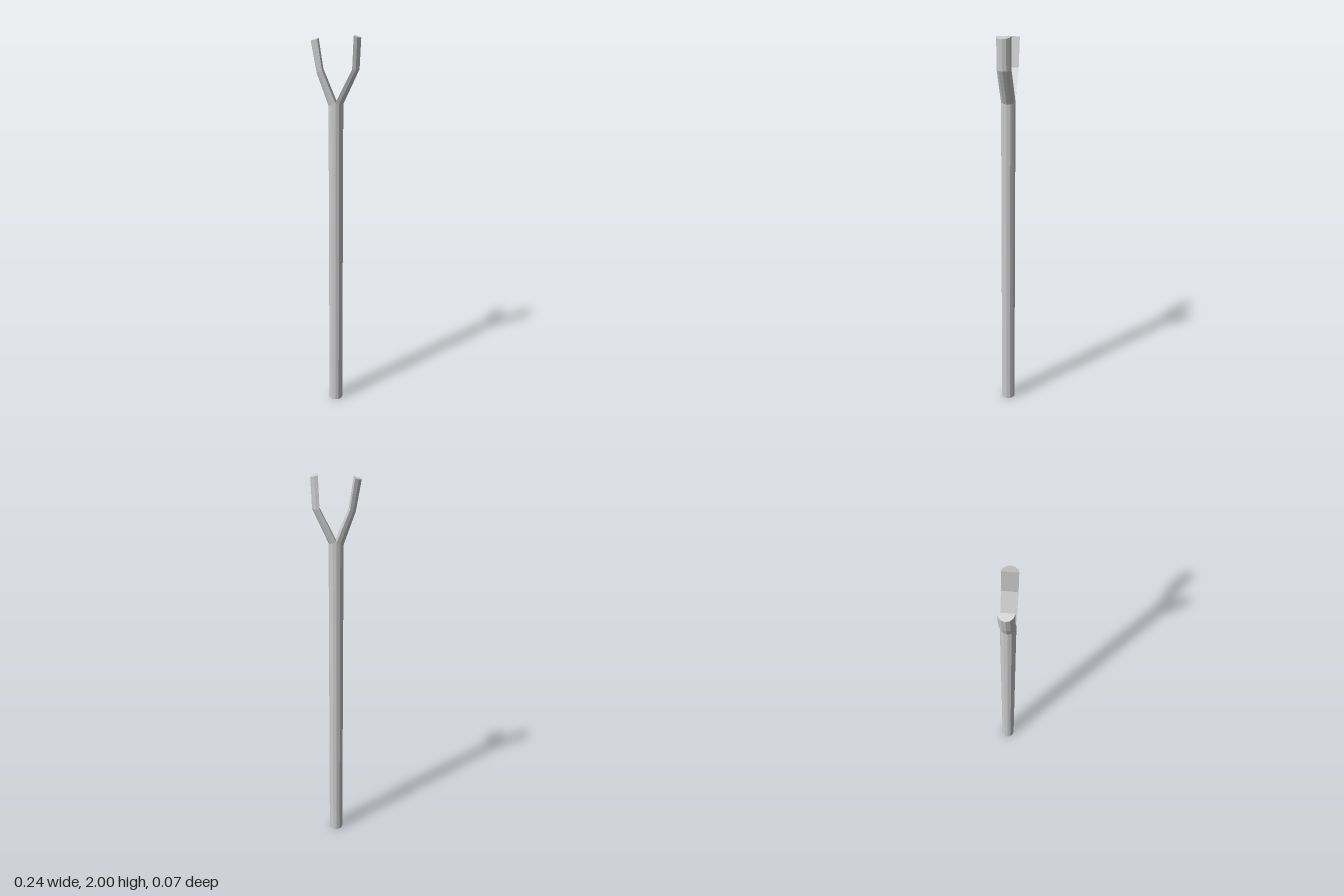
import * as THREE from 'three';

const R = 0.0365; // shaft radius and half depth of the prongs
const material = new THREE.MeshStandardMaterial({ color: 0xcccccc, flatShading: true });

// Straight twelve-sided shaft, its rim sloping down to each side of the fork
function makeShaft() {
  const profile = [[0, 0], [R, 0], [R, 1.685]].map(([x, y]) => new THREE.Vector2(x, y));
  const geo = new THREE.LatheGeometry(profile, 12);
  const pos = geo.attributes.position;
  for (let i = 0; i < pos.count; i++) {
    const x = pos.getX(i);
    if (pos.getY(i) > 1) pos.setY(i, 1.685 - Math.abs(x) / R * (x > 0 ? 0.01 : 0.02));
  }
  const flat = geo.toNonIndexed();
  flat.computeVertexNormals();
  return flat;
}

// Half-round prong lofted through sections [innerX, innerY, outerX, outerY]
function makeProng(side, sections) {
  const n = 7, verts = [], index = [];
  const tri = (a, b, c) => index.push(...(side > 0 ? [a, b, c] : [a, c, b]));
  for (const [ix, iy, ox, oy] of sections) {
    for (let j = 0; j < n; j++) {
      const a = Math.PI * j / (n - 1), s = Math.sin(a);
      verts.push(side * (ix + (ox - ix) * s), iy + (oy - iy) * s, R * Math.cos(a));
    }
  }
  for (let k = 0; k < sections.length - 1; k++) {
    for (let j = 0; j < n; j++) {
      const a = k * n + j, b = k * n + (j + 1) % n;
      tri(a, b, b + n);
      tri(a, b + n, a + n);
    }
  }
  // Flat tip
  const tip = (sections.length - 1) * n;
  for (let j = 1; j < n - 1; j++) tri(tip, tip + j, tip + j + 1);

  const geo = new THREE.BufferGeometry();
  geo.setAttribute('position', new THREE.Float32BufferAttribute(verts, 3));
  geo.setIndex(index);
  const flat = geo.toNonIndexed();
  flat.computeVertexNormals();
  return flat;
}

export function createModel() {
  const group = new THREE.Group();
  group.name = 'forkedStick';
  const add = (name, geo) => {
    const mesh = new THREE.Mesh(geo, material);
    mesh.name = name;
    group.add(mesh);
  };
  add('shaft', makeShaft());
  add('leftProng', makeProng(1, [
    [0, 1.685, R, 1.675], [0.08, 1.845, 0.114, 1.843], [0.086, 2, 0.1205, 1.99],
  ]));
  add('rightProng', makeProng(-1, [
    [0, 1.685, R, 1.665], [0.064, 1.84, 0.094, 1.826], [0.086, 1.985, 0.1205, 1.976],
  ]));
  return group;
}
